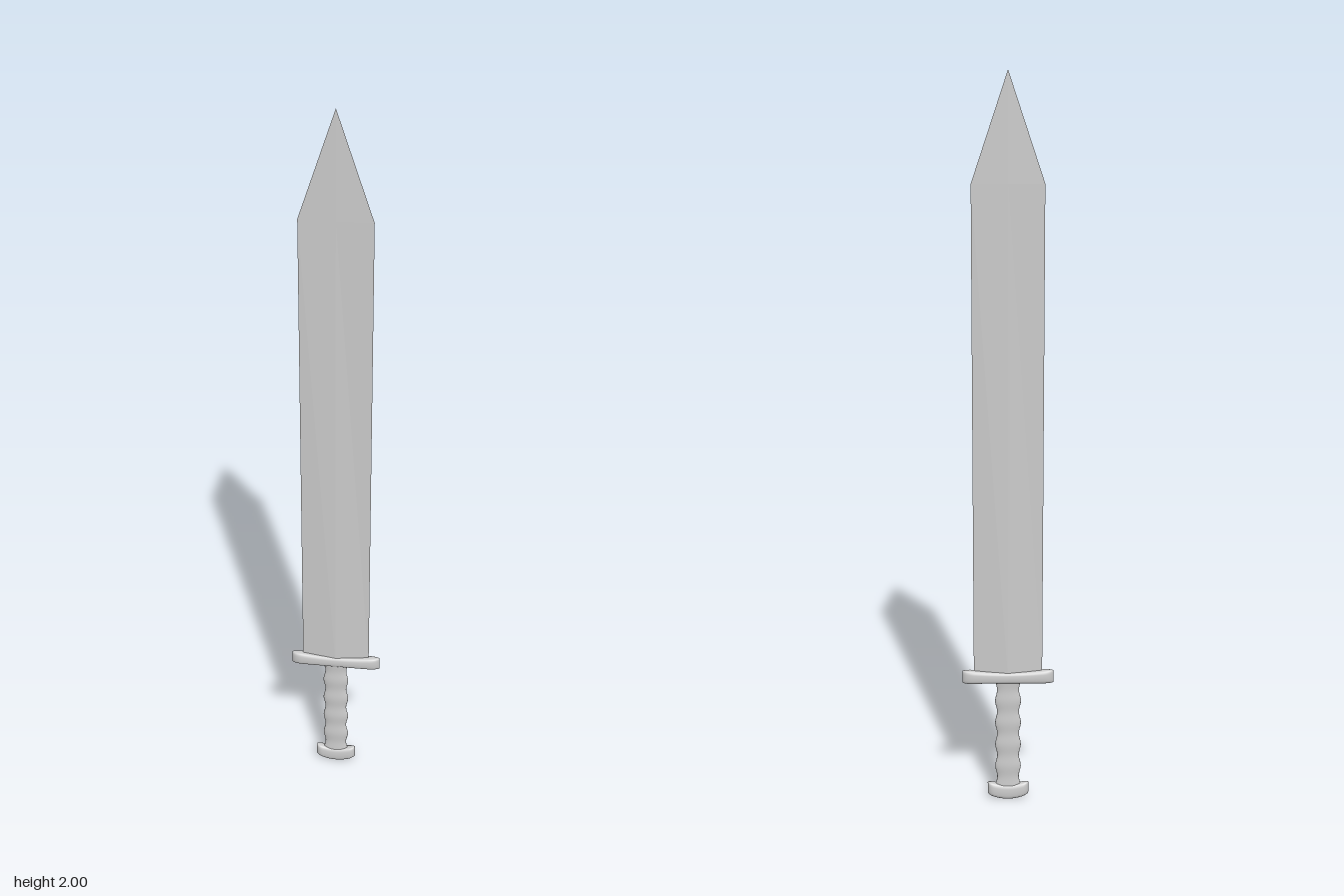
import * as THREE from 'three';

const grey = (extra = {}) => new THREE.MeshStandardMaterial({ color: 0xcccccc, ...extra });

// Skins a list of closed rings (each an array of Vector3) and caps both ends.
function loft(rings) {
  const n = rings[0].length, pos = [], index = [];
  rings.forEach(r => r.forEach(p => pos.push(p.x, p.y, p.z)));
  for (let i = 0; i < rings.length - 1; i++) {
    for (let j = 0; j < n; j++) {
      const a = i * n + j, b = i * n + (j + 1) % n;
      index.push(a, b, a + n, b, b + n, a + n);
    }
  }
  [rings[0], rings[rings.length - 1]].forEach((ring, end) => {
    const c = ring.reduce((s, p) => s.add(p), new THREE.Vector3()).divideScalar(n);
    const base = pos.length / 3;
    [...ring, c].forEach(p => pos.push(p.x, p.y, p.z));
    for (let j = 0; j < n; j++) {
      const a = base + j, b = base + (j + 1) % n;
      if (end) index.push(a, b, base + n); else index.push(b, a, base + n);
    }
  });
  const g = new THREE.BufferGeometry();
  g.setAttribute('position', new THREE.Float32BufferAttribute(pos, 3));
  g.setIndex(index);
  g.computeVertexNormals();
  return g;
}

// Crossbar running along x, round-edged, with a plan that narrows to rounded ends.
function bar(halfLength, halfZ, bottom, top, endRadius) {
  const steps = 32, sides = 20, rings = [];
  for (let i = 0; i <= steps; i++) {
    const t = -Math.cos(Math.PI * i / steps), x = t * halfLength;
    const fromEnd = Math.min(1, (1 - Math.abs(t)) * halfLength / endRadius);
    const round = Math.sqrt(Math.max(0, 1 - (1 - fromEnd) ** 2));
    const hz = halfZ * (1 - 0.2 * t * t) * Math.max(0.12, round);
    const yb = bottom(t), yt = top(t);
    const hy = (yt - yb) / 2 * (0.85 + 0.15 * round);
    rings.push(Array.from({ length: sides }, (_, j) => {
      const a = 2 * Math.PI * j / sides, c = Math.cos(a), s = Math.sin(a);
      const soft = v => Math.sign(v) * Math.abs(v) ** 0.65;
      return new THREE.Vector3(x, (yb + yt) / 2 + hy * soft(c), hz * soft(s));
    }));
  }
  return loft(rings);
}

export function createModel() {
  const model = new THREE.Group();
  const add = (name, geometry, material = grey()) => {
    const mesh = new THREE.Mesh(geometry, material);
    mesh.name = name;
    model.add(mesh);
  };

  // Blade: diamond section thinning steadily to the point
  const blade = [[0.37, 0.094, 0.01], [1.72, 0.094, 0.0018], [2, 0.0002, 0.0001]];
  add('blade', loft(blade.map(([y, w, t]) => [
    new THREE.Vector3(w, y, 0), new THREE.Vector3(0, y, -t),
    new THREE.Vector3(-w, y, 0), new THREE.Vector3(0, y, t),
  ])), grey({ flatShading: true }));

  // Guard: slim bar with slightly flared ends
  add('guard', bar(0.125, 0.0155, t => 0.354 - 0.002 * t * t, t => 0.387 + 0.006 * t * t, 0.03));

  // Grip: flattened handle with finger grooves
  const profile = [];
  for (let i = 0; i <= 50; i++) {
    const t = i / 50;
    profile.push(new THREE.Vector2(0.033 + 0.0028 * Math.cos(t * Math.PI * 10), 0.035 + 0.33 * t));
  }
  add('grip', new THREE.LatheGeometry(profile, 32).scale(1, 1, 0.29));

  // Pommel: short bar with a dished top and a bowed underside
  add('pommel', bar(0.057, 0.0145, t => 0.014 * t * t, t => 0.044 + 0.009 * t * t, 0.018));

  return model;
}
